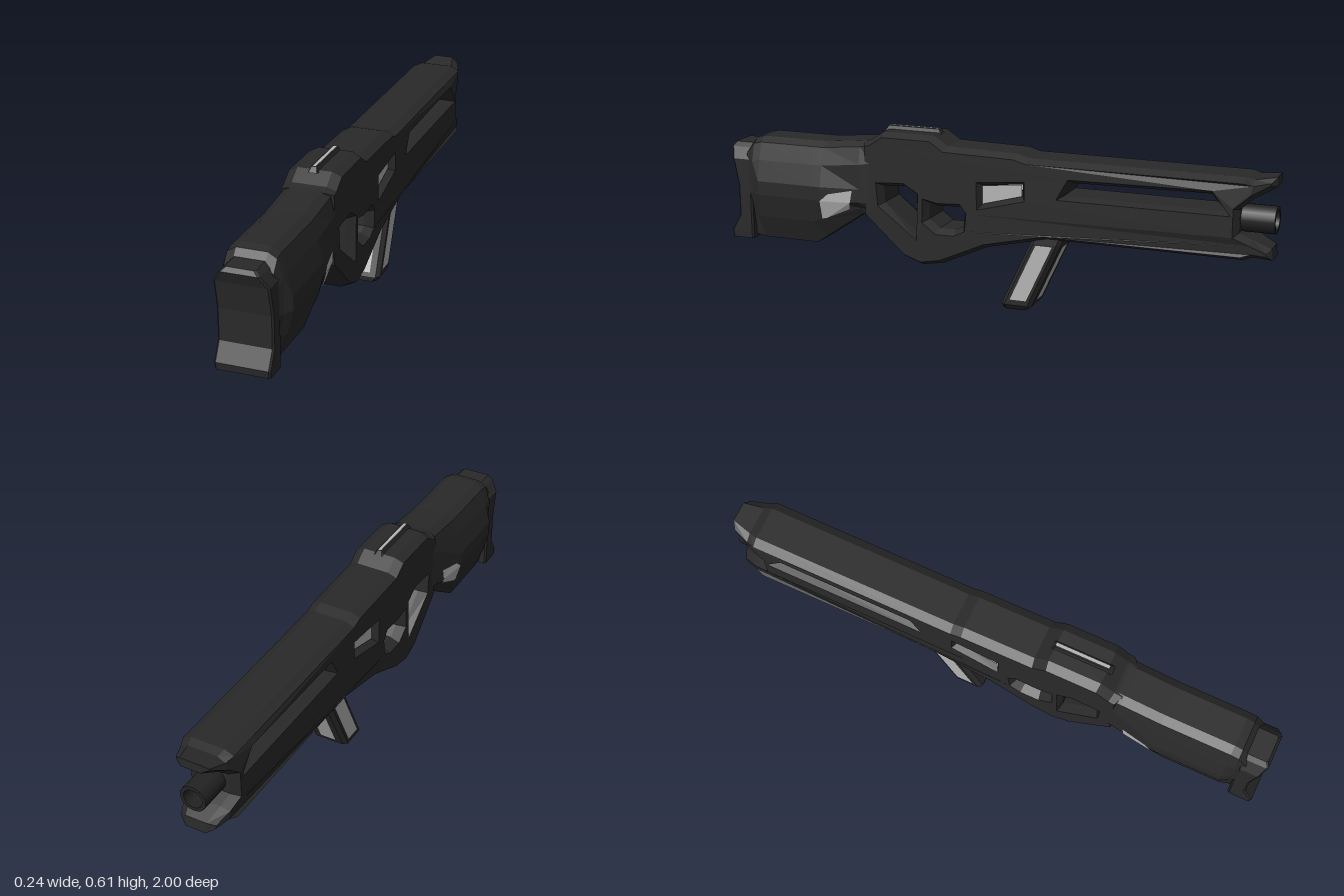
import * as THREE from 'three';

const dark = new THREE.MeshStandardMaterial({ color: 0x292929 });
dark.name = 'charcoal';
const light = new THREE.MeshStandardMaterial({ color: 0xb4b4b4, side: THREE.DoubleSide });
light.name = 'pale grey panel';
const tubeDark = new THREE.MeshStandardMaterial({ color: 0x232323, side: THREE.DoubleSide });
tubeDark.name = 'barrel black';

// Flat-faced solid through a list of rings, counter-clockwise seen from the last ring
function loft(rings) {
  const pos = [], n = rings[0].length, last = rings.length - 1;
  const tri = (a, b, c) => pos.push(...a, ...b, ...c);
  for (let i = 0; i < last; i++) {
    for (let j = 0; j < n; j++) {
      const k = (j + 1) % n, p = rings[i], q = rings[i + 1];
      tri(p[j], p[k], q[k]);
      tri(p[j], q[k], q[j]);
    }
  }
  for (let j = 1; j < n - 1; j++) {
    tri(rings[last][0], rings[last][j], rings[last][j + 1]);
    tri(rings[0][0], rings[0][j + 1], rings[0][j]);
  }
  return flat(pos);
}

function flat(pos) {
  const g = new THREE.BufferGeometry();
  g.setAttribute('position', new THREE.Float32BufferAttribute(pos, 3));
  g.computeVertexNormals();
  return g;
}

// Thin convex panel through the given corners
function plate(points) {
  const pos = [];
  for (let j = 1; j < points.length - 1; j++) pos.push(...points[0], ...points[j], ...points[j + 1]);
  return flat(pos);
}

const path = (pts) => pts.map(([z, y]) => new THREE.Vector2(z, y));

// Rectangle ring with cut corners in the xz plane
const cutRing = (y, w, z0, z1, c) => [
  [w, y, z1 - c], [w, y, z0 + c], [w - c, y, z0], [c - w, y, z0],
  [-w, y, z0 + c], [-w, y, z1 - c], [c - w, y, z1], [w - c, y, z1],
];

export function createModel() {
  const group = new THREE.Group();
  const add = (name, geometry, material = dark) => {
    const m = new THREE.Mesh(geometry, material);
    m.name = name;
    group.add(m);
    return m;
  };

  // Main frame: side profile with openings, chamfered all round
  const profile = new THREE.Shape(path([
    [0.47, 0.558], [0.44, 0.567], [0.39, 0.6], [0.2, 0.6], [0.15, 0.567], [-0.11, 0.562], [-0.15, 0.55],
    [-0.9, 0.55], [-0.93, 0.542], [-1, 0.553], [-1, 0.52], [-0.93, 0.48], [-0.885, 0.44], [-0.885, 0.36],
    [-0.93, 0.34], [-0.99, 0.31], [-0.995, 0.272], [-0.93, 0.28], [-0.9, 0.27], [-0.22, 0.27], [0, 0.22],
    [0.165, 0.145], [0.245, 0.13], [0.315, 0.155], [0.47, 0.295],
  ]));
  const openings = [
    [[0.395, 0.405], [0.31, 0.41], [0.267, 0.385], [0.267, 0.245], [0.39, 0.345]],
    [[0.22, 0.36], [0.18, 0.35], [0.1, 0.355], [0.085, 0.335], [0.09, 0.285], [0.12, 0.27], [0.18, 0.27], [0.22, 0.3]],
    [[0.015, 0.44], [-0.13, 0.455], [-0.13, 0.415], [0.015, 0.375]],
    [[-0.31, 0.477], [-0.79, 0.485], [-0.84, 0.43], [-0.28, 0.43]],
  ];
  for (const o of openings) profile.holes.push(new THREE.Path(path(o)));
  const frame = new THREE.ExtrudeGeometry(profile, {
    depth: 0.12, bevelSize: 0.016, bevelOffset: -0.016, bevelThickness: 0.032, bevelSegments: 1,
  });
  frame.translate(0, 0, -0.06).rotateY(-Math.PI / 2);
  // Narrow the nose towards its tip
  const p = frame.attributes.position;
  for (let i = 0; i < p.count; i++) {
    const t = Math.max(0, -0.9 - p.getZ(i)) / 0.1;
    p.setX(i, p.getX(i) * (1 - 0.4 * t));
  }
  frame.computeVertexNormals();
  add('mainFrame', frame);

  // Stock: faceted sections that swell at mid height
  const stations = [
    [0.43, 0.275, 0.567, 0.091], [0.475, 0.295, 0.56, 0.0975], [0.62, 0.197, 0.545, 0.118],
    [0.66, 0.17, 0.545, 0.118], [0.87, 0.17, 0.545, 0.118], [0.9, 0.175, 0.538, 0.1], [0.93, 0.18, 0.5, 0.088],
  ];
  add('stock', loft(stations.map(([z, yb, yt, w]) => {
    const half = [
      [0.065, yb], [w - 0.02, (yb + 0.34) / 2], [w, 0.34], [w, 0.39],
      [Math.min(w, 0.1), yt - 0.08], [Math.min(w, 0.082), yt - 0.018], [0.052, yt],
    ];
    return [...half, ...half.slice().reverse().map(([x, y]) => [-x, y])].map(([x, y]) => [x, y, z]);
  })));

  // Butt pad with a hollowed end face
  const padRows = [
    [0.165, 0.995, 0.092], [0.19, 0.998, 0.093], [0.25, 0.965, 0.093], [0.36, 0.965, 0.093],
    [0.46, 0.985, 0.092], [0.5, 1, 0.066], [0.515, 0.99, 0.05],
  ];
  add('buttPad', loft(padRows.map(([y, z, w]) => cutRing(y, w, 0.91, z, 0.006))));

  // Hand grip, leaning back
  const gripZ = (y) => -0.0965 - 0.46 * y;
  const gripRows = [[0.001, 0.052, 0.045], [0.02, 0.067, 0.056], [0.25, 0.067, 0.056], [0.32, 0.06, 0.05]];
  add('grip', loft(gripRows.map(([y, w, d]) => cutRing(y, w, gripZ(y) - d, gripZ(y) + d, 0.014))));
  for (const s of [1, -1]) {
    const at = (y, dz) => [s * 0.0685, y, gripZ(y) + dz];
    add('gripSidePanel', plate([at(0.04, 0.03), at(0.245, 0.03), at(0.245, -0.03), at(0.04, -0.03)]), light);
    const end = (x, y) => [x, y, gripZ(y) + s * 0.058];
    add('gripEndPanel', plate([end(-0.03, 0.035), end(0.03, 0.035), end(0.03, 0.24), end(-0.03, 0.24)]), light);
  }
  add('gripBasePanel', plate([
    [-0.034, 0, -0.125], [0.034, 0, -0.125], [0.034, 0, -0.07], [-0.034, 0, -0.07],
  ]), light);

  // Window panels on both sides
  const stockW = (z) => 0.0925 + (Math.min(z, 0.62) - 0.44) * 0.1417;
  for (const s of [1, -1]) {
    const at = (z, y, inset) => [s * (stockW(z) - inset + 0.004), y, z];
    const a = at(0.508, 0.34, 0), b = at(0.62, 0.34, 0);
    add('stockWindow', plate([at(0.5, 0.385, 0), at(0.59, 0.367, 0), b, a]), light);
    add('stockWindowLower', plate([a, b, at(0.62, 0.272, 0.019), at(0.605, 0.272, 0.019), at(0.515, 0.312, 0.016)]), light);
    add('frameWindow', plate(openings[2].map(([z, y]) => [s * 0.07, y, z])), light);
  }

  // Top rib with a pale line
  add('topRib', loft([cutRing(0.595, 0.017, 0.19, 0.41, 0.004), cutRing(0.612, 0.01, 0.2, 0.395, 0.003)]));
  add('topRibLine', plate([[-0.005, 0.6135, 0.2], [-0.005, 0.6135, 0.395], [0.005, 0.6135, 0.395], [0.005, 0.6135, 0.2]]), light);

  // Hollow barrel end
  const barrel = new THREE.LatheGeometry(
    path([[0.034, 0], [0.034, 0.13], [0.034, 0.13], [0.047, 0.13], [0.047, 0.13], [0.047, 0]]), 20);
  barrel.rotateX(-Math.PI / 2).translate(0, 0.4, -0.868);
  add('barrel', barrel, tubeDark);

  return group;
}
